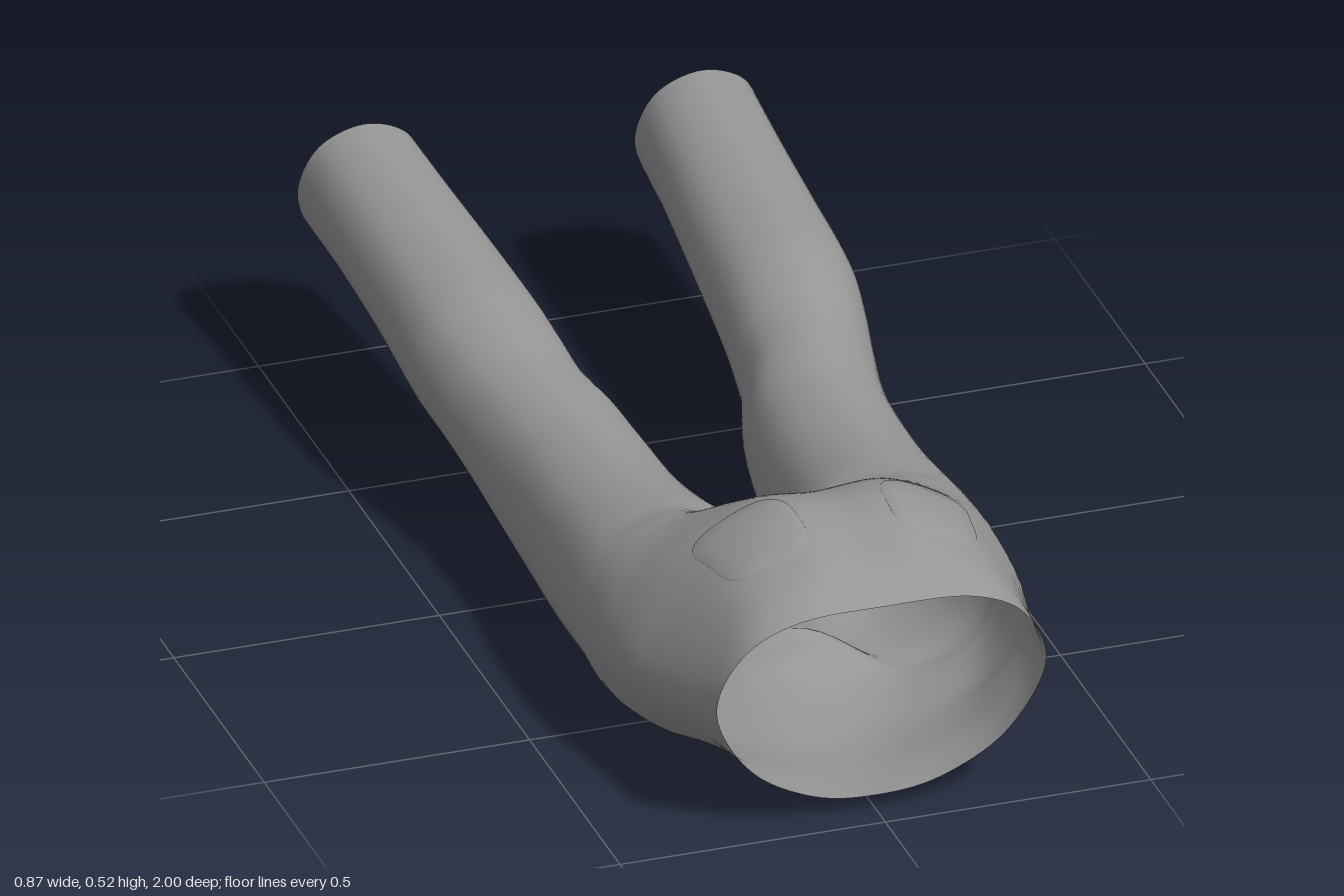
import * as THREE from 'three';
import { mergeVertices } from 'three/addons/utils/BufferGeometryUtils.js';

const CROTCH = 0.47, HEM = -0.95;
const smooth = THREE.MathUtils.smoothstep;

// Leg stations: z, inner x, outer x, bottom y, top y
const legs = [
  [-0.95, 0.2, 0.435, 0.23, 0.485],
  [-0.8, 0.187, 0.43, 0.22, 0.467],
  [-0.6, 0.17, 0.427, 0.195, 0.45],
  [-0.4, 0.155, 0.424, 0.155, 0.435],
  [-0.3, 0.147, 0.41, 0.13, 0.415],
  [-0.2, 0.135, 0.392, 0.09, 0.39],
  [-0.1, 0.105, 0.378, 0.045, 0.373],
  [0, 0.09, 0.372, 0.02, 0.36],
  [0.2, 0.07, 0.375, 0.002, 0.355],
  [0.4, 0.02, 0.388, 0.01, 0.375],
];
// Hip stations: z, then x, y pairs from the top centre round the side to the bottom centre
const hips = [
  [0.47, 0, 0.31, 0.192, 0.395, 0.333, 0.333, 0.388, 0.195, 0.34, 0.062, 0.205, 0.015, 0, 0.125],
  [0.5, 0, 0.375, 0.183, 0.41, 0.331, 0.338, 0.388, 0.197, 0.338, 0.063, 0.202, 0.018, 0, 0.085],
  [0.55, 0, 0.435, 0.165, 0.44, 0.324, 0.349, 0.388, 0.2, 0.333, 0.064, 0.195, 0.024, 0, 0.055],
  [0.65, 0, 0.492, 0.135, 0.493, 0.292, 0.392, 0.38, 0.21, 0.31, 0.073, 0.175, 0.033, 0, 0.03],
  [0.75, 0, 0.508, 0.12, 0.51, 0.262, 0.418, 0.36, 0.22, 0.28, 0.095, 0.15, 0.04, 0, 0.02],
  [0.9, 0, 0.48, 0.12, 0.48, 0.25, 0.41, 0.33, 0.24, 0.25, 0.12, 0.13, 0.053, 0, 0.025],
  [1, 0, 0.437, 0.16, 0.43, 0.265, 0.375, 0.31, 0.26, 0.24, 0.125, 0.12, 0.05, 0, 0.032],
];

// Every station becomes eight control points; the last one lies on the inner thigh
const stations = [
  ...legs.map(([z, xi, xo, yb, yt]) => {
    const cx = (xi + xo) / 2, cy = (yb + yt) / 2, rx = (xo - xi) / 2, ry = (yt - yb) / 2, k = 0.715;
    const ring = [[-k, k], [0, 1], [k, k], [1, 0], [k, -k], [0, -1], [-k, -k], [-1, 0]];
    return { z, v: ring.flatMap(([a, b]) => [cx + a * rx, cy + b * ry]) };
  }),
  ...hips.map(([z, ...p]) => ({ z, v: [...p, 0, (p[1] + p[13]) / 2] })),
];

// Control points at any z, by cubic interpolation between stations
function controls(z) {
  const n = stations.length;
  let i = 0;
  while (i < n - 2 && z > stations[i + 1].z) i++;
  const a = stations[i], b = stations[i + 1], h = b.z - a.z, t = (z - a.z) / h;
  const slope = (j, c) => {
    const p = stations[Math.max(j - 1, 0)], q = stations[Math.min(j + 1, n - 1)];
    return (q.v[c] - p.v[c]) / (q.z - p.z);
  };
  const v = a.v.map((av, c) => {
    const t2 = t * t, t3 = t2 * t;
    return av * (2 * t3 - 3 * t2 + 1) + b.v[c] * (3 * t2 - 2 * t3)
      + h * (slope(i, c) * (t3 - 2 * t2 + t) + slope(i + 1, c) * (t3 - t2));
  });
  const pts = [];
  for (let k = 0; k < 8; k++) pts.push([v[2 * k], v[2 * k + 1]]);
  if (z >= CROTCH - 1e-6) for (const k of [0, 6, 7]) pts[k][0] = 0;
  return pts;
}

function catmull(pts, u) {
  const i = Math.min(Math.floor(u), pts.length - 4), t = u - i;
  return [0, 1].map((c) => {
    const [p, q, r, s] = [0, 1, 2, 3].map((k) => pts[i + k][c]);
    return q + 0.5 * t * (r - p + t * (2 * p - 5 * q + 4 * r - s + t * (3 * (q - r) + s - p)));
  });
}

// Slant the waist and the leg hems, and draw each hem down to a rounded point
function place([x, y], z) {
  const waist = -0.05 * smooth(z, 0.65, 1) * (0.437 - y) / 0.41;
  const hem = -0.05 * smooth(-z, 0.8, 0.95) * (0.485 - y) / 0.255;
  const droop = 0.025 * smooth(-z, 0.86, 0.95) * smooth(-y, -0.27, -0.225);
  return [Math.max(x, 0), y - droop, z + waist + hem];
}

// Outer sheet, u = 0 (top) to 6 (bottom)
function outer(u, z) {
  const p = controls(z);
  const w = smooth(z, 0.34, CROTCH);
  const ghost = (q) => [THREE.MathUtils.lerp(p[7][0], -q[0], w), THREE.MathUtils.lerp(p[7][1], q[1], w)];
  return place(catmull([ghost(p[1]), ...p.slice(0, 7), ghost(p[5])], u), z);
}

// Inner thigh sheet, u = 0 (bottom) to 2 (top)
function inner(u, z) {
  const p = controls(z);
  return place(catmull([p[5], p[6], p[7], p[0], p[1]], u), z);
}

// Add a grid of points and its mirror image
function addGrid(out, rows, cols, fn) {
  for (const side of [1, -1]) {
    const base = out.pos.length / 3;
    for (let r = 0; r <= rows; r++) for (let c = 0; c <= cols; c++) {
      const [x, y, z] = fn(r, c);
      out.pos.push(x * side, y, z);
    }
    for (let r = 0; r < rows; r++) for (let c = 0; c < cols; c++) {
      const a = base + r * (cols + 1) + c, b = a + cols + 1;
      if (side > 0) out.idx.push(a, b, a + 1, b, b + 1, a + 1);
      else out.idx.push(a, a + 1, b, b, a + 1, b + 1);
    }
  }
}

function toMesh(out, name) {
  let g = new THREE.BufferGeometry();
  g.setAttribute('position', new THREE.Float32BufferAttribute(out.pos, 3));
  g.setIndex(out.idx);
  g = mergeVertices(g, 1e-5);
  g.computeVertexNormals();
  const mesh = new THREE.Mesh(g, new THREE.MeshStandardMaterial({ color: 0x969696, side: THREE.DoubleSide }));
  mesh.name = name;
  return mesh;
}

export function createModel() {
  const group = new THREE.Group();
  group.name = 'trousers';

  // Legs and hips in one smooth open skin, with rows closer together at the crotch
  const skin = { pos: [], idx: [] };
  const legRows = 80, hipRows = 36;
  const legZ = (r) => CROTCH - (CROTCH - HEM) * (1 - r / legRows) ** 1.3;
  const hipZ = (r) => CROTCH + (1 - CROTCH) * (r / hipRows) ** 1.2;
  addGrid(skin, legRows, 48, (r, c) => outer(c / 8, legZ(r)));
  addGrid(skin, legRows, 16, (r, c) => inner(c / 8, legZ(r)));
  addGrid(skin, hipRows, 48, (r, c) => outer(c / 8, hipZ(r)));
  group.add(toMesh(skin, 'legsAndHips'));

  // Thin rounded pocket patches on the seat
  const pockets = { pos: [], idx: [] };
  const rings = [[0, 0.004], [0.35, 0.004], [0.7, 0.004], [0.96, 0.003], [1, -0.002]];
  addGrid(pockets, rings.length - 1, 40, (r, c) => {
    const a = (c / 40) * Math.PI * 2, [s, lift] = rings[r];
    const round = (v) => Math.sign(v) * Math.abs(v) ** 0.6;
    const [x, y, z] = outer(1.3 + 0.6 * s * round(Math.sin(a)), 0.755 + 0.1 * s * round(Math.cos(a)));
    const d = Math.hypot(x, y - 0.1);
    return [x + lift * x / d, y + lift * (y - 0.1) / d, z];
  });
  group.add(toMesh(pockets, 'seatPockets'));
  return group;
}
